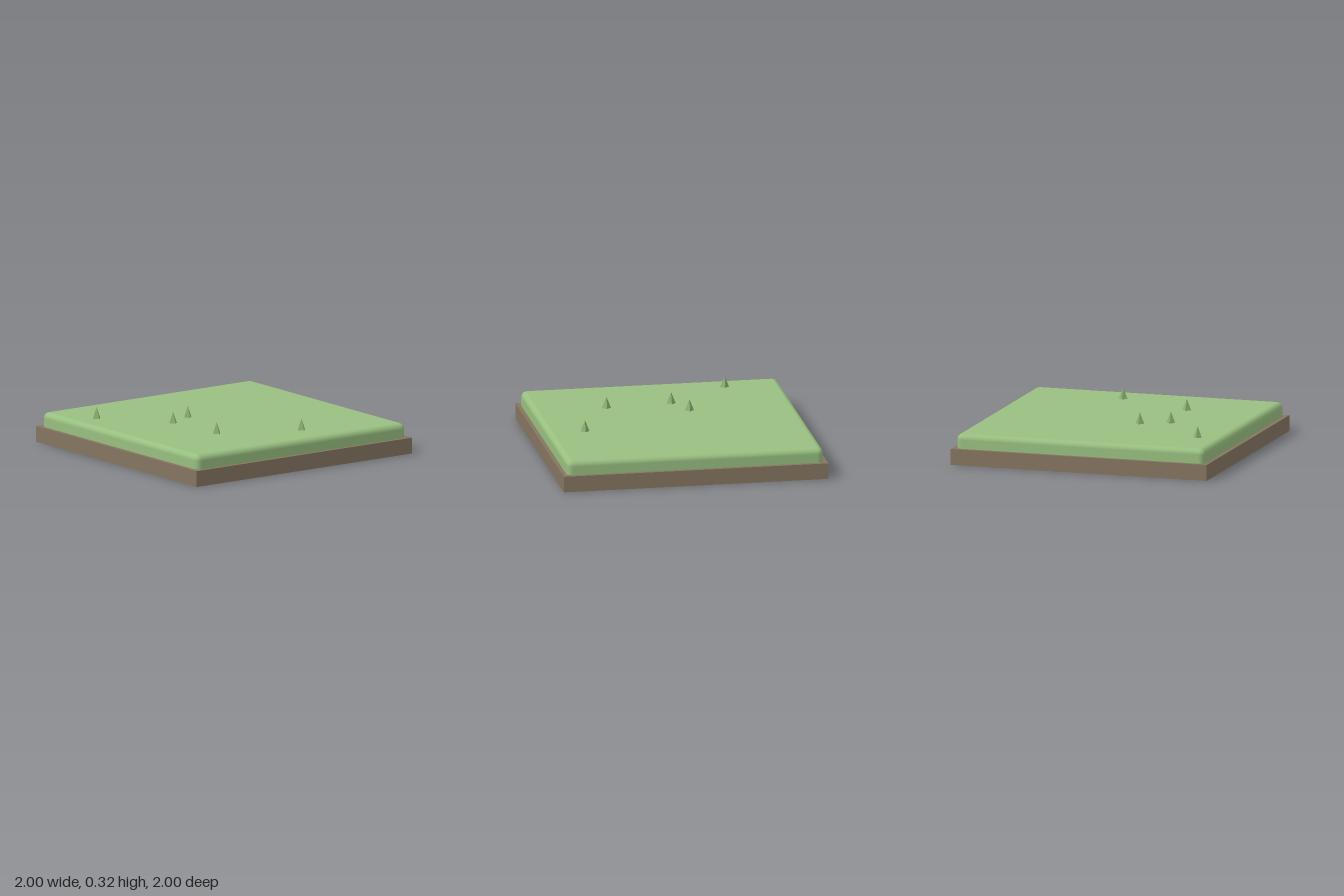
import * as THREE from 'three';
import { RoundedBoxGeometry } from 'three/addons/geometries/RoundedBoxGeometry.js';

export function createModel() {
  const model = new THREE.Group();
  model.name = 'grassTile';

  const soil = new THREE.MeshStandardMaterial({ color: 0x857560 });
  const grass = new THREE.MeshStandardMaterial({ color: 0x98bf80 });
  const blade = new THREE.MeshStandardMaterial({ color: 0x8ab072, flatShading: true });

  const add = (name, geometry, material, x, y, z) => {
    const mesh = new THREE.Mesh(geometry, material);
    mesh.name = name;
    mesh.position.set(x, y, z);
    model.add(mesh);
  };

  // Square slab of soil
  add('soilBase', new THREE.BoxGeometry(2, 0.12, 2), soil, 0, 0.06, 0);

  // Rounded turf, its lower rounding sunk into the soil
  const turfTop = 0.23, turfHeight = 0.16;
  add('turf', new RoundedBoxGeometry(1.94, turfHeight, 1.94, 2, 0.045), grass,
    0, turfTop - turfHeight / 2, 0);

  // Four-sided grass tufts scattered over the turf
  const tuftHeight = 0.09;
  const tuft = new THREE.ConeGeometry(0.036, tuftHeight, 4);
  const spots = [[-0.78, -0.54], [-0.21, -0.17], [-0.42, -0.07], [-0.385, 0.425], [0.2, 0.695]];
  spots.forEach(([x, z], i) =>
    add(`grassTuft${i + 1}`, tuft, blade, x, turfTop - 0.004 + tuftHeight / 2, z));

  return model;
}
